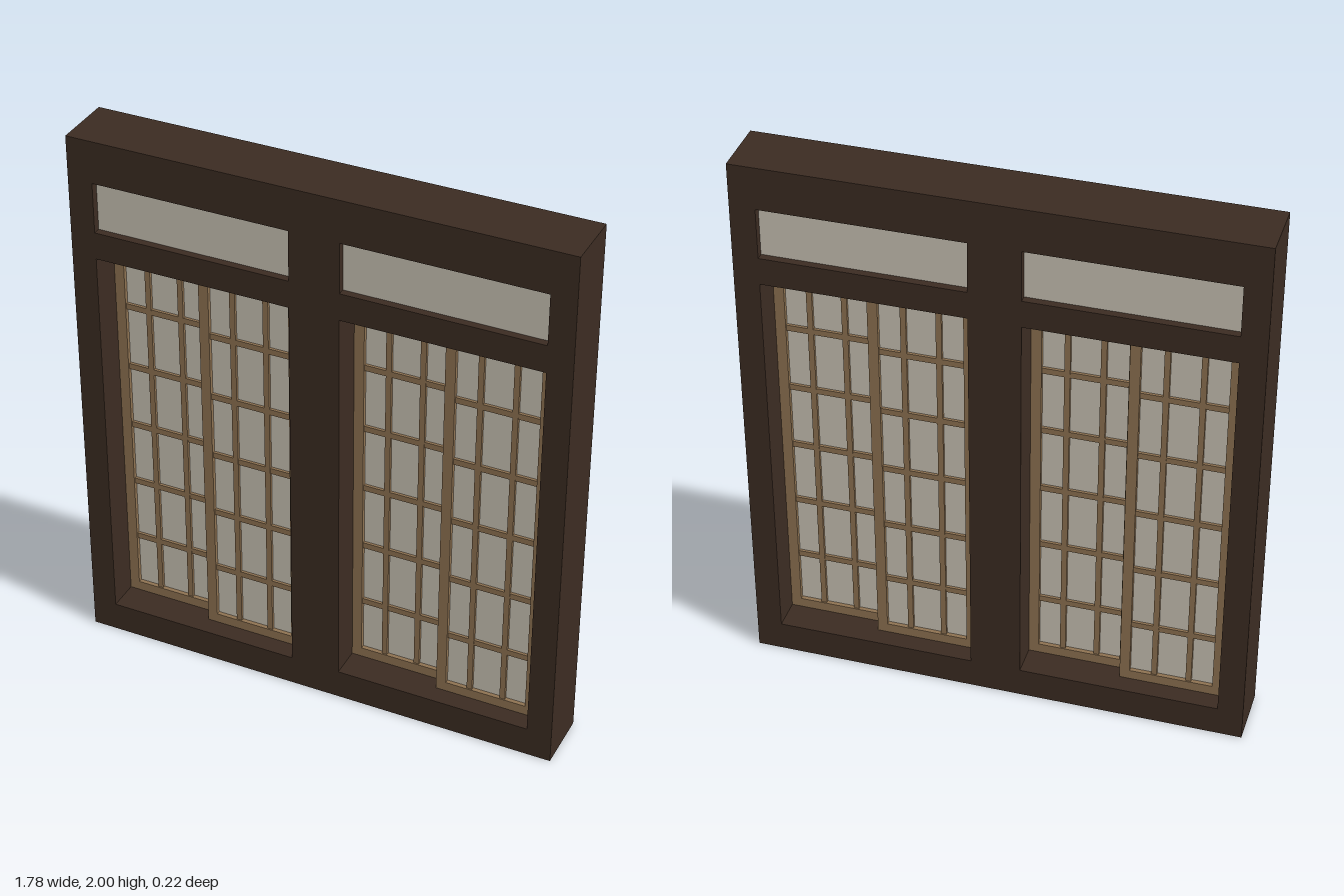
import * as THREE from 'three';

const frameWood = new THREE.MeshStandardMaterial({ color: 0x3c2c22 });
frameWood.name = 'dark frame wood';
const latticeWood = new THREE.MeshStandardMaterial({ color: 0x8f7352 });
latticeWood.name = 'light lattice wood';
const paper = new THREE.MeshStandardMaterial({ color: 0xcbc4b5 });
paper.name = 'cream paper';

// Box given by its x and y limits, depth and centre z
function slab(parent, name, material, x0, x1, y0, y1, depth, z = 0) {
  const mesh = new THREE.Mesh(new THREE.BoxGeometry(x1 - x0, y1 - y0, depth), material);
  mesh.position.set((x0 + x1) / 2, (y0 + y1) / 2, z);
  mesh.name = name;
  parent.add(mesh);
}

// Sliding screen centred on its own x, with stiles, rails, lattice bars and paper
function createScreen(width, y0, y1) {
  const screen = new THREE.Group();
  screen.name = 'slidingScreen';
  const h = width / 2, edge = 0.036, depth = 0.037, barDepth = 0.028, bar = 0.01;
  for (const s of [-1, 1]) {
    const c = s * (h - edge / 2);
    slab(screen, 'stile', latticeWood, c - edge / 2, c + edge / 2, y0, y1, depth);
  }
  slab(screen, 'bottomRail', latticeWood, -h + edge, h - edge, y0, y0 + edge, depth);
  slab(screen, 'topRail', latticeWood, -h + edge, h - edge, y1 - edge, y1, depth);
  for (const x of [-width / 6, width / 6]) {
    slab(screen, 'verticalBar', latticeWood, x - bar, x + bar, y0 + edge, y1 - edge, barDepth);
  }
  for (let i = 1; i < 6; i++) {
    const y = y0 + (y1 - y0) * i / 6;
    slab(screen, 'horizontalBar', latticeWood, -h + edge, h - edge, y - 0.011, y + 0.011, barDepth - 0.002);
  }
  slab(screen, 'screenPaper', paper, -h + edge, h - edge, y0 + edge, y1 - edge, 0.006);
  return screen;
}

export function createModel() {
  const model = new THREE.Group();
  model.name = 'slidingScreenWindow';
  const W = 0.89, D = 0.22, inner = 0.09, outer = 0.80;
  const sill = 0.11, head = 1.56, transomBottom = 1.66, transomTop = 1.845;

  // Outer frame and centre post
  slab(model, 'leftPost', frameWood, outer, W, sill, transomTop, D);
  slab(model, 'rightPost', frameWood, -W, -outer, sill, transomTop, D);
  slab(model, 'centrePost', frameWood, -inner, inner, sill, transomTop, D);
  slab(model, 'sillBeam', frameWood, -W, W, 0, sill, D);
  slab(model, 'topBeam', frameWood, -W, W, transomTop, 2, D);

  // Two bays, each with a crossbar, a transom pane and two overlapping screens
  const screenWidth = 0.367;
  for (const [x0, x1] of [[-outer, -inner], [inner, outer]]) {
    const bay = new THREE.Group();
    bay.name = 'windowBay';
    slab(bay, 'crossbar', frameWood, x0, x1, head, transomBottom, D);
    slab(bay, 'transomPane', paper, x0, x1, transomBottom, transomTop, 0.166);
    const rear = createScreen(screenWidth, sill, head);
    rear.position.set(x0 + screenWidth / 2, 0, -0.0235);
    const front = createScreen(screenWidth, sill, head);
    front.position.set(x1 - screenWidth / 2, 0, 0.0235);
    bay.add(rear, front);
    model.add(bay);
  }
  return model;
}
